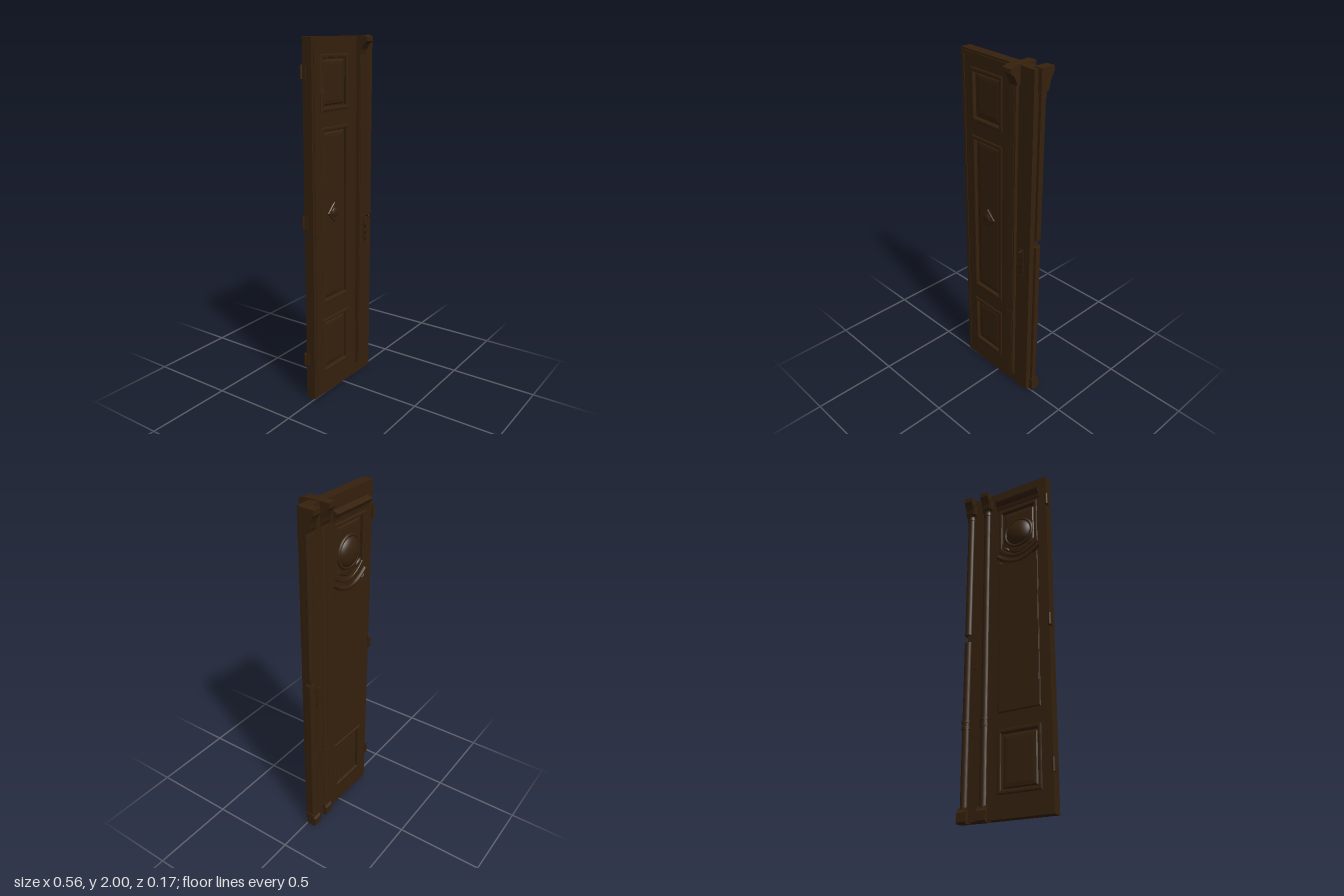
import * as THREE from 'three';

const wood = new THREE.MeshStandardMaterial({ color: 0x35210d });
wood.name = 'dark wood';
const metal = new THREE.MeshStandardMaterial({ color: 0x24130e });
metal.name = 'dark metal';

function add(parent, name, geometry, x = 0, y = 0, z = 0, material = wood) {
  const mesh = new THREE.Mesh(geometry, material);
  mesh.name = name;
  mesh.position.set(x, y, z);
  parent.add(mesh);
  return mesh;
}

const box = (w, h, d) => new THREE.BoxGeometry(w, h, d);

// Outline of a panel; its top and bottom edges may sag in a curve
function outline(p, inset = 0, Kind = THREE.Shape) {
  const x0 = p.x0 + inset, x1 = p.x1 - inset, y0 = p.y0 + inset, y1 = p.y1 - inset;
  const mid = (x0 + x1) / 2, s = new Kind();
  s.moveTo(x0, y0);
  if (p.sagBottom) s.quadraticCurveTo(mid, y0 - 2 * p.sagBottom, x1, y0);
  else s.lineTo(x1, y0);
  s.lineTo(x1, y1);
  if (p.sagTop) s.quadraticCurveTo(mid, y1 - 2 * p.sagTop, x0, y1);
  else s.lineTo(x0, y1);
  s.lineTo(x0, y0);
  return s;
}

function extrude(shape, depth, bevel = 0, bevelHeight = bevel) {
  return new THREE.ExtrudeGeometry(shape, {
    depth, curveSegments: 14, bevelEnabled: bevel > 0, bevelSize: bevel,
    bevelThickness: bevelHeight, bevelOffset: -bevel, bevelSegments: 2,
  });
}

// One face of the door: pierced plate, mouldings and raised fields
function doorFace(side, sheet, panels) {
  const plate = outline(sheet);
  plate.holes = panels.map((p) => outline(p, 0.016, THREE.Path));
  add(side, 'stilesAndRails', extrude(plate, 0.015), 0, 0, 0.014);
  for (const p of panels) {
    const frame = outline(p);
    frame.holes.push(outline(p, 0.022, THREE.Path));
    add(side, 'panelMoulding', extrude(frame, 0.014, 0.007, 0.005), 0, 0, 0.016);
    add(side, 'raisedField', extrude(outline(p, 0.03), 0.001, 0.025, 0.007), 0, 0, 0.014);
  }
}

// Side profile of [z, y] points swept across the width of a pillar
function sweep(points, width) {
  const shape = new THREE.Shape(points.map(([z, y]) => new THREE.Vector2(z, y)));
  const g = extrude(shape, width);
  g.rotateY(-Math.PI / 2);
  g.translate(width / 2, 0, 0);
  return g;
}

// Flattened dome facing forward
function dome(r, depth, sx = 1, sy = 1) {
  const g = new THREE.SphereGeometry(r, 28, 12, 0, Math.PI * 2, 0, Math.PI / 2);
  g.rotateX(Math.PI / 2);
  g.scale(sx, sy, depth / r);
  return g;
}

export function createModel() {
  const model = new THREE.Group();
  model.name = 'doorLeaf';

  // The leaf stands very slightly turned
  const leaf = new THREE.Group();
  leaf.name = 'leaf';
  leaf.rotation.y = -0.032;
  leaf.position.z = -0.011;
  model.add(leaf);
  add(leaf, 'core', box(0.529, 1.985, 0.03), -0.0075, 1.0025, 0);

  // Front face with three panels
  const front = new THREE.Group();
  front.name = 'frontFace';
  leaf.add(front);
  doorFace(front, { x0: -0.272, x1: 0.257, y0: 0.01, y1: 1.995 }, [
    { x0: -0.2, x1: 0.04, y0: 1.62, y1: 1.91 },
    { x0: -0.2, x1: 0.04, y0: 0.56, y1: 1.54 },
    { x0: -0.2, x1: 0.04, y0: 0.14, y1: 0.47 },
  ]);
  const diamond = add(front, 'diamondOrnament', extrude(outline({ x0: -0.04, x1: 0.04, y0: -0.04, y1: 0.04 }), 0.004, 0.012, 0.006), -0.083, 1.07, 0.02);
  diamond.rotation.z = Math.PI / 4;
  add(front, 'diamondBoss', dome(0.028, 0.012), -0.083, 1.07, 0.026);
  add(front, 'topBead', box(0.36, 0.012, 0.008), -0.08, 1.978, 0.03);
  add(front, 'sideBead', box(0.008, 1.95, 0.008), -0.252, 1.0, 0.029);

  // Back face, where local x runs the other way
  const back = new THREE.Group();
  back.name = 'backFace';
  back.rotation.y = Math.PI;
  leaf.add(back);
  doorFace(back, { x0: -0.257, x1: 0.272, y0: 0.01, y1: 1.995 }, [
    { x0: -0.05, x1: 0.21, y0: 1.56, y1: 1.85, sagBottom: 0.06 },
    { x0: -0.05, x1: 0.21, y0: 0.56, y1: 1.5, sagTop: 0.06 },
    { x0: -0.05, x1: 0.21, y0: 0.13, y1: 0.47 },
  ]);
  const cornice = sweep([[0.02, 1.86], [0.034, 1.865], [0.038, 1.885], [0.055, 1.9], [0.06, 1.912], [0.036, 1.922], [0.02, 1.93]], 0.29);
  add(back, 'cornice', cornice, 0.083, 0, 0);
  add(back, 'roundBossRim', new THREE.TorusGeometry(0.088, 0.01, 8, 36), 0.08, 1.665, 0.022);
  add(back, 'roundBoss', dome(0.085, 0.042), 0.08, 1.665, 0.016);
  const swag = new THREE.QuadraticBezierCurve3(
    new THREE.Vector3(-0.055, 1.53, 0.028), new THREE.Vector3(0.08, 1.41, 0.028), new THREE.Vector3(0.215, 1.53, 0.028));
  add(back, 'swagMoulding', new THREE.TubeGeometry(swag, 24, 0.014, 8));

  // Carved shield with scrolls below the swag
  const shield = new THREE.Shape();
  shield.moveTo(0, -0.075);
  shield.quadraticCurveTo(0.055, -0.04, 0.05, 0.045);
  shield.quadraticCurveTo(0.025, 0.03, 0, 0.045);
  shield.quadraticCurveTo(-0.025, 0.03, -0.05, 0.045);
  shield.quadraticCurveTo(-0.055, -0.04, 0, -0.075);
  add(back, 'carvedShield', extrude(shield, 0.003, 0.01, 0.006), 0.08, 1.345, 0.019);
  for (const s of [-1, 1]) {
    add(back, 'shieldScroll', new THREE.TorusGeometry(0.016, 0.006, 6, 18), 0.08 + s * 0.048, 1.37, 0.024);
    add(back, 'bossLeaf', dome(0.025, 0.012, 1.2, 0.6), 0.08 + s * 0.09, 1.575, 0.018).rotation.z = s * 0.6;
  }
  add(back, 'centreOrnament', dome(0.02, 0.01), 0.08, 1.0, 0.02);

  // Front pilaster with flared capital
  add(model, 'frontPilaster', box(0.046, 1.84, 0.03), 0.132, 1.0, 0.028);
  add(model, 'frontPilasterFace', box(0.03, 1.78, 0.006), 0.132, 1.0, 0.043);
  add(model, 'frontCapital', sweep([[0, 1.9], [0.044, 1.9], [0.05, 1.925], [0.066, 1.95], [0.088, 1.968], [0.088, 1.99], [0.06, 2], [0, 2]], 0.055), 0.136);

  // Back pillars with bases, collars and capitals
  const capital = [[0, 1.88], [0, 2], [-0.086, 1.998], [-0.086, 1.97], [-0.074, 1.955], [-0.062, 1.925], [-0.056, 1.9], [-0.046, 1.88]].reverse();
  const base = [[0, 0.005], [0, 0.085], [-0.045, 0.085], [-0.05, 0.07], [-0.06, 0.06], [-0.06, 0.012], [-0.05, 0.002]].reverse();
  for (const [x, split] of [[0.137, false], [0.253, true]]) {
    const pillar = new THREE.Group();
    pillar.name = split ? 'edgePillar' : 'innerPillar';
    pillar.position.x = x;
    model.add(pillar);
    const spans = split ? [[0.05, 1.02], [1.065, 1.93]] : [[0.05, 1.93]];
    for (const [y0, y1] of spans) {
      const shaft = new THREE.CylinderGeometry(0.022, 0.022, y1 - y0, 20);
      shaft.scale(1, 1, 0.75);
      add(pillar, 'shaft', shaft, 0, (y0 + y1) / 2, -0.032);
      add(pillar, 'shaftBacking', box(0.042, y1 - y0, 0.03), 0, (y0 + y1) / 2, -0.021);
    }
    for (const y of [0.51, 0.545, 1.86]) {
      const collar = new THREE.CylinderGeometry(0.026, 0.026, 0.016, 20);
      collar.scale(1, 1, 0.85);
      add(pillar, 'collar', collar, 0, y, -0.032);
    }
    add(pillar, 'base', sweep(base, 0.056), 0, 0, 0);
    add(pillar, 'capital', sweep(capital, 0.052), 0, 0, 0);
    add(pillar, 'capitalWing', box(0.014, 0.07, 0.03), -0.032, 1.92, -0.047);
  }
  add(model, 'pilasterCollar', box(0.05, 0.05, 0.012), 0.132, 0.53, 0.042);

  // Hinges on the outer edge
  for (const y of [1.825, 1.04, 0.245]) {
    add(model, 'hingeBarrel', new THREE.CylinderGeometry(0.009, 0.009, 0.07, 12), -0.275, y, -0.053);
    add(model, 'hingePlate', box(0.008, 0.066, 0.025), -0.274, y, -0.038);
  }

  // Lock plate, knob and keyhole on the front
  add(model, 'lockPlate', box(0.026, 0.17, 0.006), 0.198, 0.91, 0.026);
  const stem = add(model, 'knobStem', new THREE.CylinderGeometry(0.003, 0.004, 0.026, 10), 0.202, 0.99, 0.038, metal);
  stem.rotation.x = Math.PI / 2;
  add(model, 'knob', new THREE.SphereGeometry(0.006, 12, 8), 0.202, 0.99, 0.049, metal);
  for (const y of [0.925, 0.885, 0.85]) add(model, 'keyhole', box(0.01, 0.018, 0.004), 0.198, y, 0.029, metal);
  add(model, 'backLockPlate', box(0.026, 0.13, 0.008), 0.198, 0.91, -0.037);
  return model;
}
